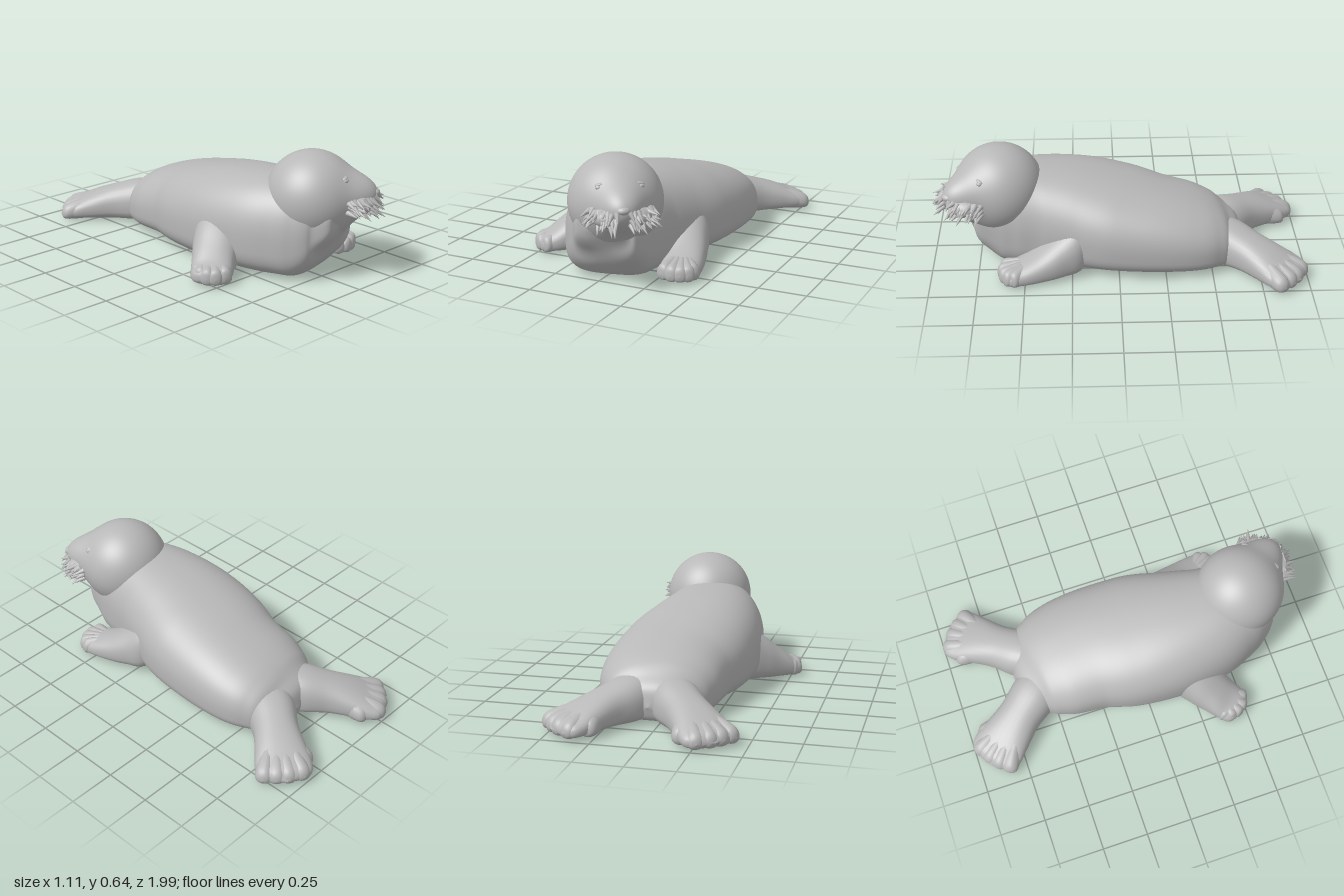
import * as THREE from 'three';
import { mergeVertices, mergeGeometries } from 'three/addons/utils/BufferGeometryUtils.js';

const skin = new THREE.MeshStandardMaterial({ color: 0xb8b8b8 });
skin.name = 'grey skin';

let seed;
const rand = () => (seed = (seed * 16807) % 2147483647) / 2147483647;

function add(parent, name, geometry) {
  const mesh = new THREE.Mesh(geometry, skin);
  mesh.name = name;
  parent.add(mesh);
  return mesh;
}

// Smooth skin over cross-sections [x, z, halfWidth, bottomY, topY] that follow a ground path;
// belt is the height of the widest line, the powers set how square the top and bottom are
function loft(rows, steps, sides, topPower, bottomPower, belt) {
  const curve = (f) => new THREE.CatmullRomCurve3(rows.map(f), false, 'catmullrom', 0.5);
  const plan = curve(([x, z, w]) => new THREE.Vector3(x, w, z));
  const rise = curve((r) => new THREE.Vector3(r[3], r[4], 0));
  const pos = [], index = [];
  const bend = (v, n) => Math.sign(v) * Math.abs(v) ** (2 / n);
  for (let i = 0; i <= steps; i++) {
    const t = i / steps;
    const c = plan.getPoint(t), h = rise.getPoint(t);
    const a = plan.getPoint(Math.max(0, t - 0.01)), b = plan.getPoint(Math.min(1, t + 0.01));
    const len = Math.hypot(b.x - a.x, b.z - a.z);
    const sx = (b.z - a.z) / len, sz = -(b.x - a.x) / len;
    const w = Math.max(0, c.y), mid = h.x + (h.y - h.x) * belt;
    for (let j = 0; j < sides; j++) {
      const ang = (j / sides) * Math.PI * 2, sn = Math.sin(ang);
      const n = sn >= 0 ? topPower : bottomPower;
      const u = w * bend(Math.cos(ang), n);
      const y = mid + bend(sn, n) * (sn >= 0 ? h.y - mid : mid - h.x);
      pos.push(c.x + sx * u, Math.max(0, y), c.z + sz * u);
      if (i < steps) {
        const k = i * sides, j2 = (j + 1) % sides;
        index.push(k + j, k + j2, k + sides + j, k + j2, k + sides + j2, k + sides + j);
      }
    }
  }
  const g = new THREE.BufferGeometry();
  g.setAttribute('position', new THREE.Float32BufferAttribute(pos, 3));
  g.setIndex(index);
  g.computeVertexNormals();
  return g;
}

// A webbed limb with one shallow toe running from its root to each tip
function flipper(parent, name, rows, root, tips, toeWidth, rootTop, tipTop) {
  const group = new THREE.Group();
  group.name = name;
  add(group, name + 'Limb', loft(rows, 32, 32, 2.3, 3, 0.4));
  for (const [x, z] of tips) {
    const at = (t, w, y0, y1) => [root[0] + (x - root[0]) * t, root[1] + (z - root[1]) * t, w * toeWidth, y0, y1];
    const top = (t) => rootTop + (tipTop - rootTop) * t;
    add(group, name + 'Toe', loft([
      at(0, 0, 0.05, 0.05), at(0.3, 0.7, 0.02, top(0.3) - 0.012), at(0.65, 0.95, 0.012, top(0.65)),
      at(0.88, 1, 0.012, top(0.88)), at(0.97, 0.65, 0.02, top(1) - 0.012), at(1, 0, 0.045, 0.045),
    ], 20, 16, 2, 2.3, 0.42));
  }
  parent.add(group);
}

function ellipsoid(parent, name, p, s) {
  const mesh = add(parent, name, new THREE.SphereGeometry(1, 28, 20));
  mesh.position.set(...p);
  mesh.scale.set(...s);
  return mesh;
}

// Round head drawn out into a muzzle
function headGeometry() {
  let g = new THREE.IcosahedronGeometry(1, 28);
  g.deleteAttribute('uv');
  g.deleteAttribute('normal');
  g = mergeVertices(g, 1e-4);
  const p = g.attributes.position, v = new THREE.Vector3();
  for (let i = 0; i < p.count; i++) {
    v.fromBufferAttribute(p, i).normalize();
    const ang = Math.acos(Math.min(1, Math.max(-1, v.z * 0.995 + v.y * 0.1)));
    v.multiplyScalar(0.24 + 0.096 * Math.exp(-((ang / 0.4) ** 2)));
    p.setXYZ(i, v.x, v.y, v.z);
  }
  g.computeVertexNormals();
  return g;
}

// Ragged tufts curving around one side of the muzzle
function whiskers(side) {
  seed = 11 + side * 4;
  const parts = [], up = new THREE.Vector3(0, 1, 0);
  for (let i = 0; i < 33; i++) {
    const phi = 0.1 + 0.56 * ((i % 11) + rand()) / 11;
    const r = 0.335 - 0.085 * phi / 0.66;
    const y = 0.02 - 0.024 * Math.floor(i / 11) + (rand() - 0.5) * 0.02;
    const len = 0.05 + rand() * 0.035;
    const dir = new THREE.Vector3(
      side * (Math.sin(phi) * 0.9 + (rand() - 0.3) * 0.6), -0.35 - rand() * 0.7 + phi * 0.6, Math.cos(phi) * 0.9,
    ).normalize();
    const g = new THREE.ConeGeometry(0.016, len, 8, 3);
    g.translate(0, len / 2, 0);
    g.applyQuaternion(new THREE.Quaternion().setFromUnitVectors(up, dir));
    g.translate(side * Math.sin(phi) * r, y, Math.cos(phi) * r);
    parts.push(g);
  }
  return mergeGeometries(parts);
}

export function createModel() {
  const seal = new THREE.Group();
  seal.name = 'seal';

  // Long body with a flat belly and a full chest rising into the head
  add(seal, 'body', loft([
    [0.05, -0.675, 0, 0.1, 0.1], [0.05, -0.65, 0.13, 0.03, 0.19], [0.05, -0.59, 0.225, 0.012, 0.245],
    [0.055, -0.52, 0.28, 0.008, 0.3], [0.06, -0.4, 0.323, 0.005, 0.35], [0.058, -0.2, 0.343, 0.005, 0.405],
    [0.025, 0, 0.365, 0.005, 0.452], [-0.01, 0.2, 0.348, 0.005, 0.488], [-0.02, 0.4, 0.312, 0.005, 0.505],
    [0, 0.56, 0.27, 0.005, 0.505], [0.02, 0.66, 0.232, 0.015, 0.5], [0.038, 0.74, 0.187, 0.09, 0.48],
    [0.045, 0.79, 0.148, 0.185, 0.45], [0.055, 0.83, 0.1, 0.265, 0.41], [0.06, 0.86, 0, 0.335, 0.335],
  ], 112, 72, 2.3, 3.4, 0.37));

  // Rear flippers, mirrored about the tail
  for (const side of [-1, 1]) {
    const flip = ([x, ...rest]) => [side < 0 ? x : 0.096 - x, ...rest];
    flipper(seal, side < 0 ? 'rightRearFlipper' : 'leftRearFlipper', [
      [0.02, -0.43, 0, 0.1, 0.1], [-0.01, -0.49, 0.1, 0.03, 0.22], [-0.075, -0.59, 0.128, 0.01, 0.235],
      [-0.16, -0.7, 0.118, 0.01, 0.2], [-0.24, -0.8, 0.133, 0.01, 0.158], [-0.3, -0.875, 0.145, 0.012, 0.116],
      [-0.34, -0.925, 0.12, 0.015, 0.09], [-0.362, -0.952, 0, 0.045, 0.045],
    ].map(flip), flip([-0.14, -0.67]),
    [[-0.445, -0.86], [-0.4, -0.915], [-0.35, -0.96], [-0.282, -1], [-0.19, -0.95]].map(flip),
    0.046, 0.195, 0.09);
  }

  // Front flippers, each resting at its own angle
  flipper(seal, 'rightFrontFlipper', [
    [-0.16, 0.18, 0, 0.2, 0.2], [-0.22, 0.235, 0.12, 0.03, 0.33], [-0.32, 0.31, 0.125, 0.01, 0.265],
    [-0.4, 0.37, 0.112, 0.008, 0.185], [-0.46, 0.42, 0.105, 0.008, 0.122], [-0.51, 0.455, 0.085, 0.012, 0.09],
    [-0.53, 0.47, 0, 0.05, 0.05],
  ], [-0.38, 0.355], [[-0.54, 0.375], [-0.55, 0.418], [-0.54, 0.465], [-0.51, 0.503], [-0.455, 0.525]],
  0.037, 0.135, 0.092);
  flipper(seal, 'leftFrontFlipper', [
    [0.19, 0.14, 0, 0.18, 0.18], [0.23, 0.23, 0.12, 0.03, 0.3], [0.28, 0.34, 0.12, 0.01, 0.22],
    [0.32, 0.44, 0.11, 0.008, 0.15], [0.345, 0.53, 0.103, 0.008, 0.11], [0.364, 0.6, 0.085, 0.012, 0.09],
    [0.37, 0.625, 0, 0.05, 0.05],
  ], [0.32, 0.44], [[0.44, 0.575], [0.425, 0.612], [0.388, 0.636], [0.34, 0.647], [0.285, 0.635]],
  0.037, 0.135, 0.092);

  // Head turned towards its left
  const head = new THREE.Group();
  head.name = 'head';
  head.position.set(0.038, 0.4, 0.635);
  head.rotation.y = 0.6;
  add(head, 'skull', headGeometry());
  ellipsoid(head, 'nose', [0, 0.04, 0.312], [0.036, 0.022, 0.032]);
  for (const side of [-1, 1]) {
    ellipsoid(head, 'whiskerPad', [side * 0.07, -0.01, 0.255], [0.08, 0.05, 0.065]).rotation.y = side * 0.5;
    ellipsoid(head, 'eye', [side * 0.1, 0.12, 0.178], [0.02, 0.013, 0.017]);
    ellipsoid(head, 'brow', [side * 0.095, 0.134, 0.172], [0.026, 0.008, 0.016]).rotation.z = side * -0.3;
    add(head, 'whiskers', whiskers(side));
  }
  seal.add(head);
  return seal;
}
